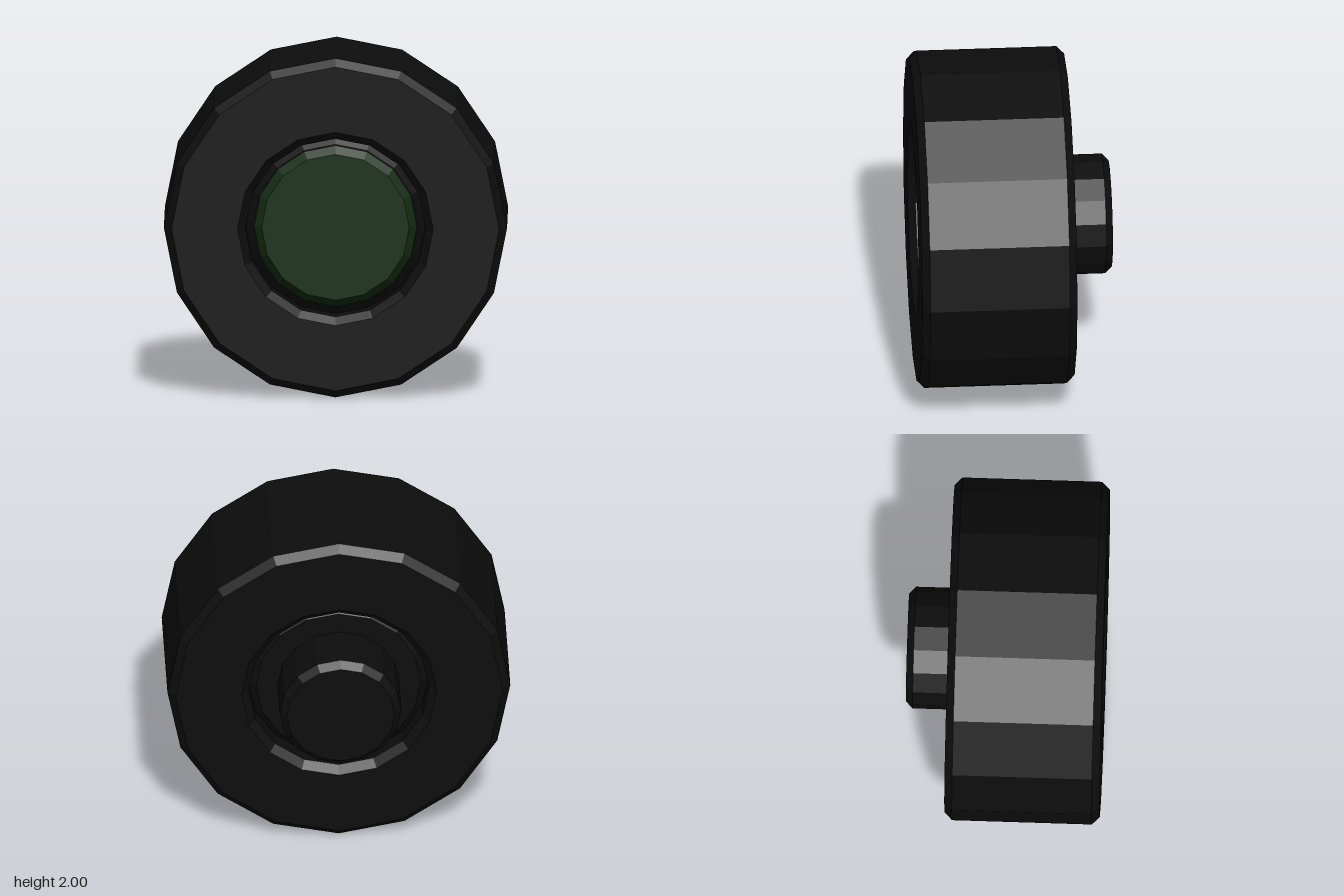
import * as THREE from 'three';

const SIDES = 16;

// Spins a [radius, z] profile around the z axis; back-to-front profiles face outward
function turned(name, profile, color) {
  const points = profile.map(([r, z]) => new THREE.Vector2(r, z));
  const geometry = new THREE.LatheGeometry(points, SIDES);
  geometry.rotateX(Math.PI / 2);
  const material = new THREE.MeshStandardMaterial({ color, flatShading: true });
  const mesh = new THREE.Mesh(geometry, material);
  mesh.name = name;
  return mesh;
}

// Solid disc with chamfered rims
function disc(name, radius, back, front, bevel, color) {
  return turned(name, [
    [0, back], [radius - bevel, back], [radius, back + bevel],
    [radius, front - bevel], [radius - bevel, front], [0, front],
  ], color);
}

export function createModel() {
  const model = new THREE.Group();
  model.name = 'wheel';
  const black = 0x0d0d0d, green = 0x122c10;

  const wheel = new THREE.Group();
  wheel.name = 'wheelAssembly';
  wheel.position.y = 1;
  model.add(wheel);

  // Chamfered tyre ring, closed around its centre hole
  const b = 0.045, back = -0.33, front = 0.575, hole = 0.525;
  wheel.add(turned('tyre', [
    [hole, back + b], [hole + b, back], [1 - b, back], [1, back + b],
    [1, front - b], [1 - b, front], [hole + b, front], [hole, front - b],
    [hole, back + b],
  ], black));

  // Core filling the hole, recessed on both sides
  wheel.add(disc('hubCore', 0.525, -0.23, 0.45, b, black));

  // Coloured cap on the front of the core
  wheel.add(disc('hubCap', 0.475, 0.3, 0.51, b, green));

  // Axle stub out of the back
  wheel.add(disc('axle', 0.355, -0.575, 0.2, 0.04, black));

  return model;
}
